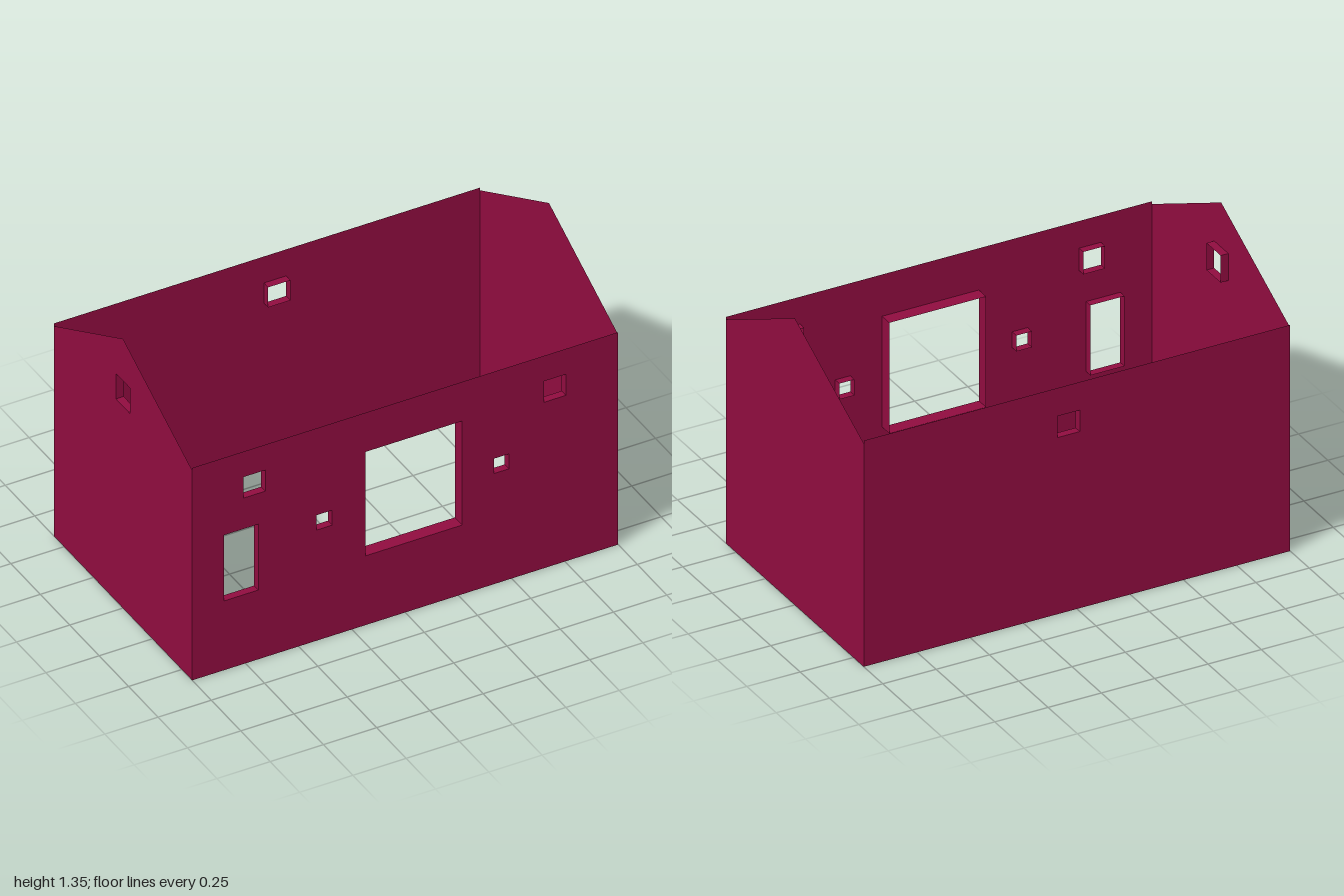
import * as THREE from 'three';

const HALF_W = 1, HALF_D = 0.588;
const SIDE_H = 1.068, EAVE_H = 1.055, PEAK_H = 1.354;
const REVEAL = 0.036;

const crimson = new THREE.MeshStandardMaterial({ color: 0x900c3f, side: THREE.DoubleSide });
crimson.name = 'crimson';

// Four strips lining an opening, running inward from the wall surface
function addReveal(wall, { name, x0, x1, y0, y1, depth = REVEAL }) {
  const reveal = new THREE.Group();
  reveal.name = name + 'Reveal';
  const w = x1 - x0, h = y1 - y0, cx = (x0 + x1) / 2, cy = (y0 + y1) / 2;
  const strip = (part, sx, sy, x, y, rx, ry) => {
    const mesh = new THREE.Mesh(new THREE.PlaneGeometry(sx, sy), crimson);
    mesh.name = part;
    mesh.position.set(x, y, -depth / 2);
    mesh.rotation.set(rx, ry, 0);
    reveal.add(mesh);
  };
  strip('sill', w, depth, cx, y0, -Math.PI / 2, 0);
  strip('head', w, depth, cx, y1, Math.PI / 2, 0);
  strip('jambA', depth, h, x0, cy, 0, Math.PI / 2);
  strip('jambB', depth, h, x1, cy, 0, -Math.PI / 2);
  wall.add(reveal);
}

// Thin wall from an outline, facing local +z, with lined openings
function makeWall(name, outline, openings) {
  const wall = new THREE.Group();
  wall.name = name;
  const shape = new THREE.Shape(outline.map(([x, y]) => new THREE.Vector2(x, y)));
  for (const { x0, x1, y0, y1 } of openings) {
    shape.holes.push(new THREE.Path([
      new THREE.Vector2(x0, y0), new THREE.Vector2(x0, y1),
      new THREE.Vector2(x1, y1), new THREE.Vector2(x1, y0),
    ]));
  }
  const panel = new THREE.Mesh(new THREE.ShapeGeometry(shape), crimson);
  panel.name = name + 'Panel';
  wall.add(panel);
  openings.forEach((o) => addReveal(wall, o));
  return wall;
}

export function createModel() {
  const house = new THREE.Group();
  house.name = 'houseShell';

  const longSide = [[-HALF_W, 0], [HALF_W, 0], [HALF_W, SIDE_H], [-HALF_W, SIDE_H]];
  const gable = [[-HALF_D, 0], [HALF_D, 0], [HALF_D, EAVE_H], [0, PEAK_H], [-HALF_D, EAVE_H]];

  // Front wall: large opening, tall window, two upper and two small windows
  const front = makeWall('frontWall', longSide, [
    { name: 'largeOpening', x0: -0.187, x1: 0.267, y0: 0.348, y1: 0.871, depth: 0.062 },
    { name: 'tallWindow', x0: -0.85, x1: -0.69, y0: 0.348, y1: 0.679 },
    { name: 'upperWindowRight', x0: -0.759, x1: -0.657, y0: 0.834, y1: 0.94 },
    { name: 'upperWindowLeft', x0: 0.652, x1: 0.754, y0: 0.834, y1: 0.94 },
    { name: 'smallWindowRight', x0: -0.416, x1: -0.343, y0: 0.556, y1: 0.631 },
    { name: 'smallWindowLeft', x0: 0.416, x1: 0.487, y0: 0.556, y1: 0.631 },
  ]);
  front.position.z = HALF_D;

  // Back wall with a single window
  const back = makeWall('backWall', longSide, [
    { name: 'backWindow', x0: -0.091, x1: 0.013, y0: 0.834, y1: 0.935 },
  ]);
  back.position.z = -HALF_D;
  back.rotation.y = Math.PI;

  // Gable ends: only the right one has a window
  const right = makeWall('rightGable', gable, [
    { name: 'gableWindow', x0: -0.06, x1: 0.06, y0: 1.015, y1: 1.143 },
  ]);
  right.position.x = -HALF_W;
  right.rotation.y = -Math.PI / 2;

  const left = makeWall('leftGable', gable, []);
  left.position.x = HALF_W;
  left.rotation.y = Math.PI / 2;

  house.add(front, back, right, left);
  return house;
}
